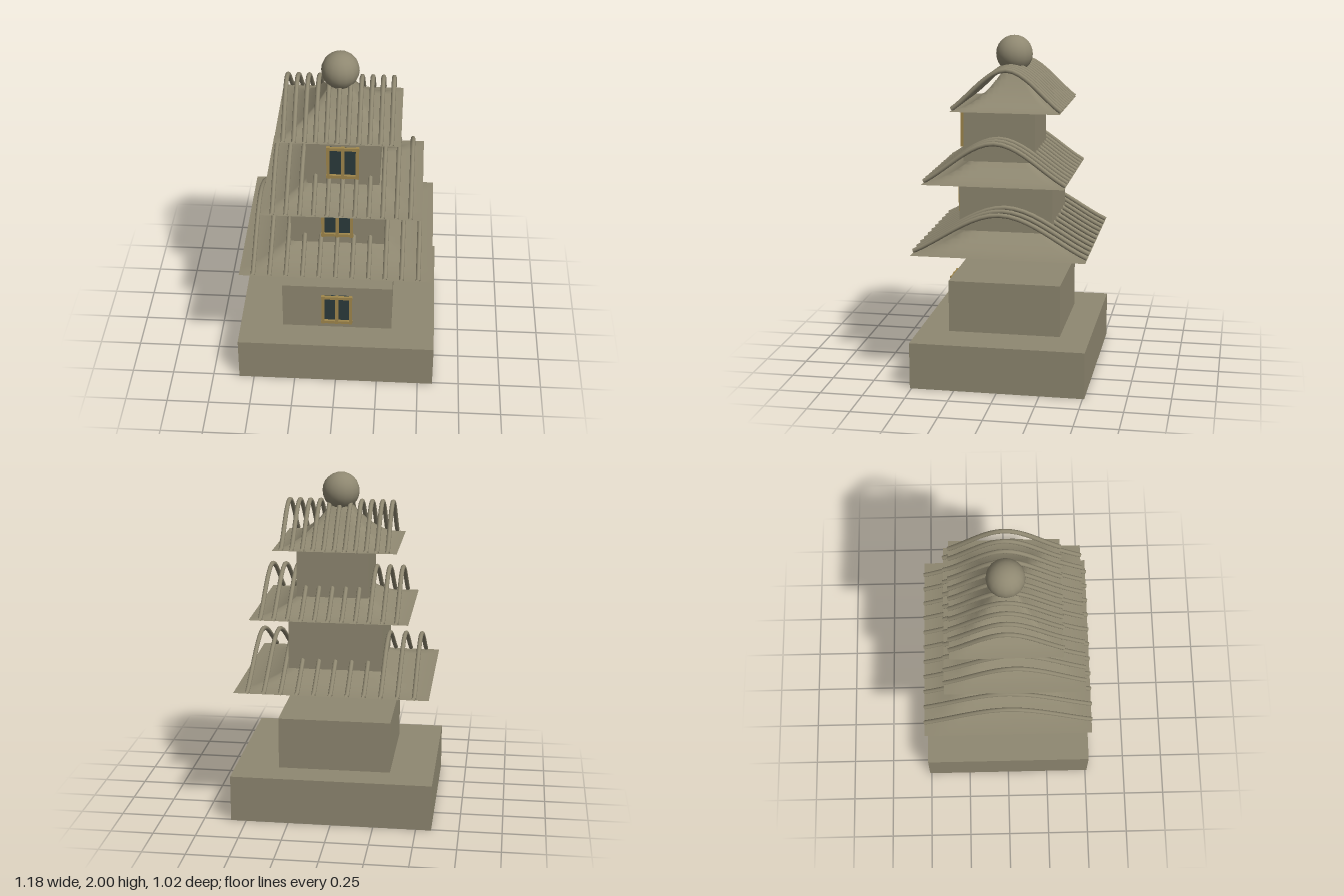
import * as THREE from 'three';

const stone = new THREE.MeshStandardMaterial({ color: 0x8f8871 });
stone.name = 'stone';
const roofStone = stone.clone(); // same colour, seen from both sides
roofStone.name = 'stoneSheet';
roofStone.side = THREE.DoubleSide;
const wood = new THREE.MeshStandardMaterial({ color: 0xa0874c });
wood.name = 'goldenWood';
const glass = new THREE.MeshStandardMaterial({ color: 0x2b3a3c });
glass.name = 'darkGlass';

function box(parent, name, material, w, h, d, x, y, z) {
  const mesh = new THREE.Mesh(new THREE.BoxGeometry(w, h, d), material);
  mesh.name = name;
  mesh.position.set(x, y, z);
  parent.add(mesh);
  return mesh;
}

// Two glass panes behind a frame of three posts and two rails
function makeWindow(x, y, z) {
  const group = new THREE.Group();
  group.name = 'window';
  box(group, 'glassPane', glass, 0.165, 0.17, 0.03, 0, 0, 0.01);
  for (const px of [-0.083, 0, 0.083]) box(group, 'windowPost', wood, 0.018, 0.21, 0.018, px, 0, 0.034);
  for (const py of [-0.093, 0.093]) box(group, 'windowRail', wood, 0.188, 0.018, 0.016, 0, py, 0.034);
  group.position.set(x, y, z);
  return group;
}

// Flared square roof with eleven arched tile ribs running front to back
function makeRoof(halfX, halfZ, x, y, z) {
  const group = new THREE.Group();
  group.name = 'roof';

  const sheet = new THREE.PlaneGeometry(2, 2, 20, 20).rotateX(-Math.PI / 2);
  const p = sheet.attributes.position;
  for (let i = 0; i < p.count; i++) {
    const r = Math.max(Math.abs(p.getX(i)), Math.abs(p.getZ(i)));
    p.setXYZ(i, p.getX(i) * halfX, 0.31 * (1 - r) ** 2, p.getZ(i) * halfZ);
  }
  sheet.computeVertexNormals();
  const skirt = new THREE.Mesh(sheet, roofStone);
  skirt.name = 'roofSheet';
  group.add(skirt);

  const arch = new THREE.CatmullRomCurve3([
    new THREE.Vector3(0, 0.008, halfZ),
    new THREE.Vector3(0, 0.238, 0),
    new THREE.Vector3(0, 0.008, -halfZ),
  ]);
  const ribGeometry = new THREE.TubeGeometry(arch, 20, 0.0135, 8);
  for (let i = -5; i <= 5; i++) {
    const rib = new THREE.Mesh(ribGeometry, roofStone);
    rib.name = 'tileRib';
    rib.position.x = (i / 5) * halfX * 0.853;
    group.add(rib);
  }
  group.position.set(x, y, z);
  return group;
}

export function createModel() {
  const model = new THREE.Group();
  model.name = 'pagoda';

  box(model, 'base', stone, 1.18, 0.275, 1.02, 0, 0.1375, 0);

  // Storeys: half width, bottom, top, centre x, centre z, window height
  const storeys = [
    [0.331, 0.275, 0.583, 0, 0, 0.437],
    [0.274, 0.88, 1.19, 0, 0, 1.055],
    [0.21, 1.287, 1.592, 0.03, 0.043, 1.455],
  ];
  for (const [half, y0, y1, x, z, wy] of storeys) {
    box(model, 'storey', stone, half * 2, y1 - y0, half * 2, x, (y0 + y1) / 2, z);
    model.add(makeWindow(x, wy, z + half));
  }

  model.add(makeRoof(0.562, 0.503, 0, 0.79, 0));
  model.add(makeRoof(0.46, 0.41, 0.03, 1.19, 0.04));
  model.add(makeRoof(0.356, 0.317, 0, 1.592, -0.007));

  // Ball on the peak
  const ball = new THREE.Mesh(new THREE.SphereGeometry(0.109, 16, 12), stone);
  ball.name = 'finial';
  ball.position.set(0, 1.89, -0.005);
  model.add(ball);

  return model;
}
